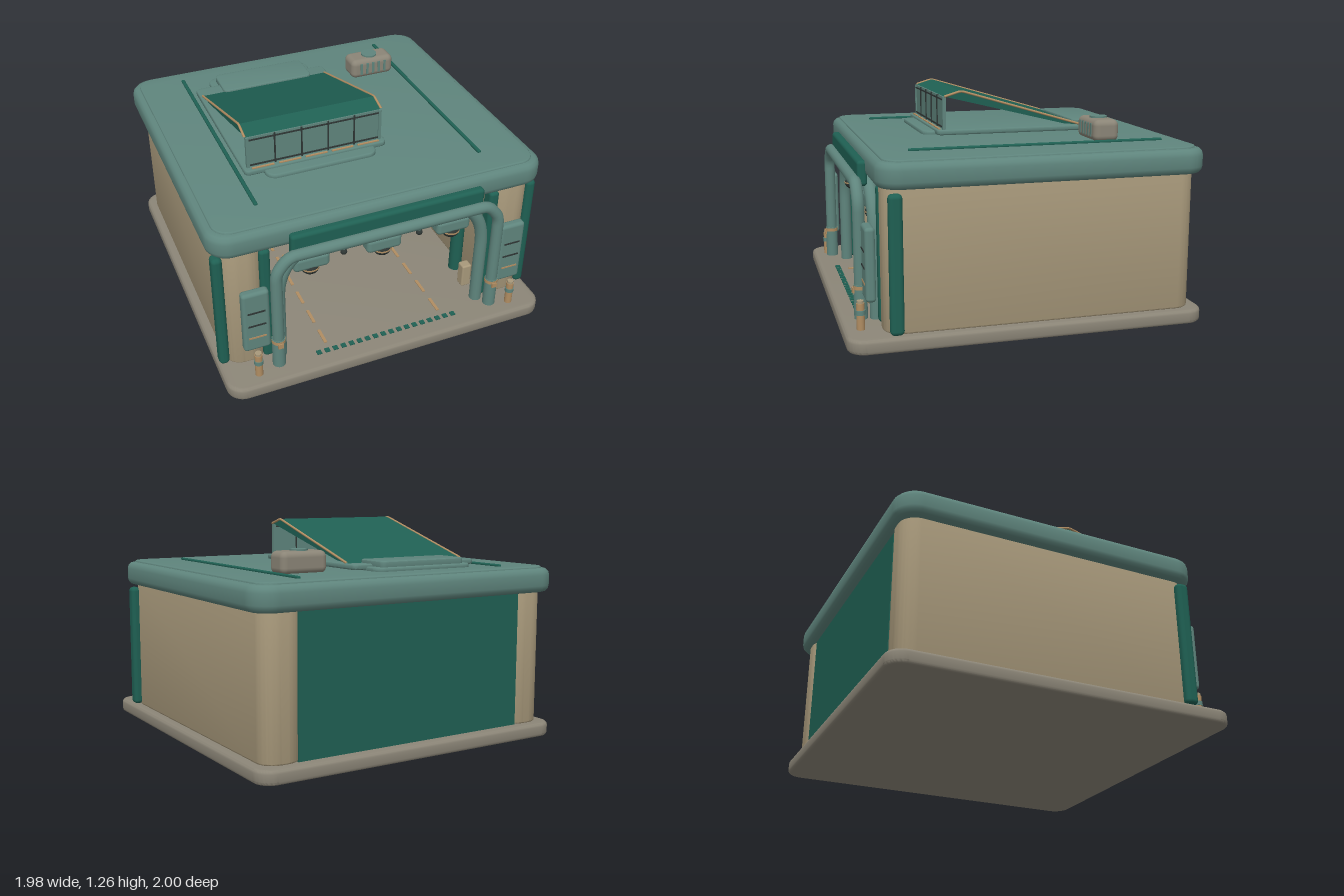
import * as THREE from 'three';
import { toCreasedNormals } from 'three/addons/utils/BufferGeometryUtils.js';
import { RoundedBoxGeometry } from 'three/addons/geometries/RoundedBoxGeometry.js';

export function createModel() {
  const model = new THREE.Group();
  const material = (name, color) => {
    const m = new THREE.MeshStandardMaterial({ color });
    m.name = name;
    return m;
  };
  const teal = material('teal', 0x5f857d);
  const green = material('deep green', 0x1f6053);
  const tan = material('tan', 0xa8997b);
  const stone = material('stone', 0x8b8577);
  const copper = material('copper trim', 0xb08d62);
  const dark = material('dark', 0x2f3735);

  const add = (name, geometry, mat, x = 0, y = 0, z = 0) => {
    const mesh = new THREE.Mesh(geometry, mat);
    mesh.name = name;
    mesh.position.set(x, y, z);
    model.add(mesh);
    return mesh;
  };
  const box = (name, mat, w, h, d, x, y, z) => add(name, new THREE.BoxGeometry(w, h, d), mat, x, y, z);
  const soft = (name, mat, w, h, d, x, y, z, r) =>
    add(name, new RoundedBoxGeometry(w, h, d, 3, r), mat, x, y, z);
  const post = (name, mat, r, h, x, y, z) =>
    add(name, new THREE.CylinderGeometry(r, r, h, 20), mat, x, y, z);

  // Rounded rectangle lying flat, with bevelled rims; y0 is its underside
  const slab = (name, mat, [x0, x1], [y0, y1], [z0, z1], r, bevel, segments = 3) => {
    const a = (x1 - x0) / 2 - bevel, b = (z1 - z0) / 2 - bevel, q = r - bevel;
    const s = new THREE.Shape();
    s.absarc(a - q, b - q, q, 0, Math.PI / 2);
    s.absarc(-a + q, b - q, q, Math.PI / 2, Math.PI);
    s.absarc(-a + q, -b + q, q, Math.PI, Math.PI * 1.5);
    s.absarc(a - q, -b + q, q, Math.PI * 1.5, Math.PI * 2);
    const g = new THREE.ExtrudeGeometry(s, {
      depth: y1 - y0 - 2 * bevel, bevelEnabled: true, bevelSize: bevel,
      bevelThickness: bevel, bevelSegments: segments, curveSegments: 10,
    });
    g.rotateX(-Math.PI / 2);
    return add(name, toCreasedNormals(g, 0.6), mat, (x0 + x1) / 2, y0 + bevel, (z0 + z1) / 2);
  };

  // Tube following straight runs joined by rounded bends
  const pipe = (name, mat, points, bend, r) => {
    const v = points.map((p) => new THREE.Vector3(...p));
    const path = new THREE.CurvePath();
    let from = v[0];
    for (let i = 1; i < v.length - 1; i++) {
      const a = v[i].clone().add(v[i - 1].clone().sub(v[i]).setLength(bend));
      const b = v[i].clone().add(v[i + 1].clone().sub(v[i]).setLength(bend));
      path.add(new THREE.LineCurve3(from, a));
      path.add(new THREE.QuadraticBezierCurve3(a, v[i], b));
      from = b;
    }
    path.add(new THREE.LineCurve3(from, v[v.length - 1]));
    return add(name, new THREE.TubeGeometry(path, 100, r, 14), mat);
  };

  // Base and main shell
  slab('base', stone, [-0.98, 0.98], [0, 0.08], [-1, 1], 0.1, 0.02);
  slab('roof', teal, [-0.99, 0.99], [0.85, 0.99], [-0.985, 0.835], 0.13, 0.04);
  slab('roofDeck', teal, [-0.945, 0.945], [0.96, 1], [-0.945, 0.795], 0.1, 0.008);
  box('backPanel', green, 1.46, 0.79, 0.04, 0, 0.475, -0.91);

  for (const s of [-1, 1]) {
    const span = (a, b) => (s > 0 ? [a, b] : [-b, -a]);
    slab('sideWall', tan, span(0.69, 0.93), [0.08, 0.87], [-0.94, 0.8], 0.1, 0.01);
    soft('cornerTrim', green, 0.06, 0.745, 0.075, s * 0.943, 0.458, 0.743, 0.025);
    soft('doorJamb', green, 0.06, 0.75, 0.08, s * 0.69, 0.455, 0.76, 0.02);
    for (const z of [0.5, 0, -0.5]) post('innerPost', green, 0.04, 0.78, s * 0.65, 0.47, z);

    // Front equipment panel with slots
    soft('wallCabinet', teal, 0.155, 0.4, 0.055, s * 0.78, 0.44, 0.86, 0.02);
    for (const [i, y] of [0.51, 0.42, 0.335].entries())
      box('cabinetSlot', i === 2 ? copper : dark, 0.1, 0.01, 0.006, s * 0.78, y, 0.888);

    // Bollard
    post('bollard', copper, 0.022, 0.15, s * 0.79, 0.15, 0.91);
    post('bollardBand', teal, 0.026, 0.025, s * 0.79, 0.175, 0.91);
    post('bollardCap', tan, 0.018, 0.02, s * 0.79, 0.23, 0.91);

    // Feet of the front frame
    post('frameSleeve', teal, 0.037, 0.19, s * 0.665, 0.195, 0.89);
    post('frameCollar', copper, 0.039, 0.02, s * 0.665, 0.275, 0.89);
    box('frameLatch', copper, 0.03, 0.03, 0.02, s * 0.665, 0.26, 0.925);

    soft('roofRail', green, 0.022, 0.018, 1.46, s * 0.67, 1.004, -0.11, 0.008);

    // Floor guide dashes
    for (let i = 0; i < 9; i++) box('guideDash', copper, 0.018, 0.006, 0.11, s * 0.36, 0.082, 0.77 - i * 0.18);
  }

  // Front frame and inner arch
  pipe('frontFrame', teal, [[-0.665, 0.1, 0.89], [-0.665, 0.74, 0.89], [-0.59, 0.83, 0.89],
    [0.59, 0.83, 0.89], [0.665, 0.74, 0.89], [0.665, 0.1, 0.89]], 0.045, 0.033);
  pipe('doorArch', teal, [[-0.625, 0.08, 0.8], [-0.625, 0.82, 0.8], [0.625, 0.82, 0.8],
    [0.625, 0.08, 0.8]], 0.33, 0.036);
  soft('frontCanopy', green, 1.14, 0.14, 0.055, 0, 0.87, 0.85, 0.02);

  // Lamps above the doorway
  box('lampRail', copper, 1.16, 0.015, 0.02, 0, 0.73, 0.76);
  for (const x of [-0.43, 0, 0.43]) {
    soft('lampHousing', teal, 0.21, 0.09, 0.09, x, 0.68, 0.77, 0.025);
    const bulb = add('lampBulb', new THREE.SphereGeometry(0.052, 20, 12), dark, x, 0.63, 0.77);
    bulb.scale.y = 0.8;
    post('lampRing', copper, 0.054, 0.008, x, 0.632, 0.77);
  }
  for (const x of [-0.23, 0.23]) {
    post('sensorStem', teal, 0.01, 0.06, x, 0.7, 0.77);
    add('sensor', new THREE.SphereGeometry(0.019, 14, 10), dark, x, 0.67, 0.77);
  }
  soft('controlBox', tan, 0.06, 0.15, 0.06, 0.585, 0.215, 0.72, 0.01);

  // Threshold drain
  for (let i = 0; i < 18; i++) box('drainSlot', green, 0.028, 0.008, 0.03, -0.425 + i * 0.05, 0.082, 0.885);

  // Roof hatch: stepped plates, glazed front and sloping lid
  slab('hatchLowerPlate', teal, [-0.53, 0.13], [0.99, 1.022], [-0.765, 0.425], 0.06, 0.01);
  slab('hatchUpperPlate', teal, [-0.64, 0.21], [1.005, 1.035], [-0.645, 0.355], 0.03, 0.008);
  slab('hatchHinge', teal, [-0.485, 0.09], [1.01, 1.055], [-0.74, -0.52], 0.03, 0.006);
  const profile = [[0.31, 1.228], [0.21, 1.258], [-0.545, 1.035], [-0.43, 1.045]];
  const lid = new THREE.ExtrudeGeometry(new THREE.Shape(profile.map((p) => new THREE.Vector2(...p))),
    { depth: 0.8, bevelEnabled: false });
  lid.rotateY(-Math.PI / 2);
  add('hatchLid', lid, green, 0.185);
  for (const x of [-0.62, 0.19])
    pipe('lidEdge', copper, profile.slice(0, 3).map(([z, y]) => [x, y, z]), 0.02, 0.007);

  box('hatchWindow', teal, 0.8, 0.19, 0.01, -0.215, 1.13, 0.308);
  for (let i = 0; i < 6; i++)
    box('windowBar', i % 5 ? dark : teal, i % 5 ? 0.008 : 0.018, 0.19, 0.02, -0.61 + i * 0.158, 1.13, 0.31);
  for (const y of [1.048, 1.208]) box('windowRail', dark, 0.79, 0.008, 0.018, -0.215, y, 0.31);
  for (let i = 0; i < 5; i++) box('windowSill', copper, 0.13, 0.006, 0.012, -0.53 + i * 0.158, 1.038, 0.335);

  // Roof vent
  soft('ventBox', stone, 0.285, 0.125, 0.15, 0.49, 1.056, -0.525, 0.035);
  post('ventCap', teal, 0.05, 0.012, 0.49, 1.122, -0.525);
  for (let i = 0; i < 5; i++)
    box('ventSlot', teal, 0.016, 0.075, 0.006, 0.41 + i * 0.04, 1.058, -0.45);

  return model;
}
